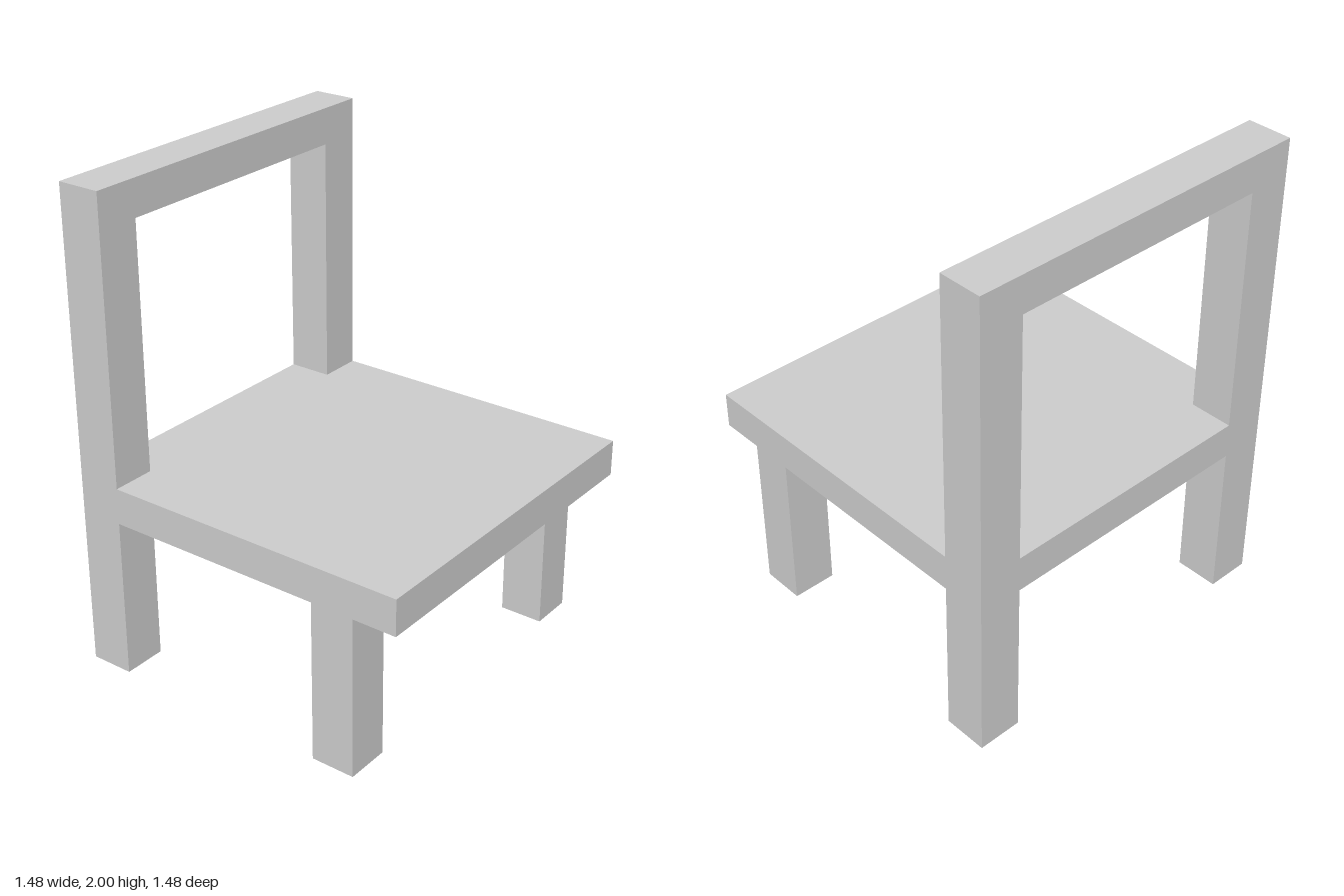
import * as THREE from 'three';

const HALF = 0.74;        // half width and half depth
const POST = 0.184;       // leg and post thickness
const SEAT_LOW = 0.675, SEAT_TOP = 0.825;
const RAIL_LOW = 1.85, TOP = 2;

export function createModel() {
  const chair = new THREE.Group();
  chair.name = 'chair';
  const material = new THREE.MeshStandardMaterial({ color: 0xcccccc, flatShading: true });

  // Box given by its lower and upper limits on each axis
  const addBox = (name, [x0, x1], [y0, y1], [z0, z1]) => {
    const mesh = new THREE.Mesh(new THREE.BoxGeometry(x1 - x0, y1 - y0, z1 - z0), material);
    mesh.position.set((x0 + x1) / 2, (y0 + y1) / 2, (z0 + z1) / 2);
    mesh.name = name;
    chair.add(mesh);
  };

  const inner = HALF - POST;
  const backZ = [-HALF, -inner];
  const frontZ = [inner - POST, inner];

  // Seat slab
  addBox('seat', [-HALF, HALF], [SEAT_LOW, SEAT_TOP], [-HALF, HALF]);

  // Legs and backrest posts, flush with the seat sides
  for (const [side, x] of [['left', [inner, HALF]], ['right', [-HALF, -inner]]]) {
    addBox(`${side}FrontLeg`, x, [0, SEAT_LOW], frontZ);
    addBox(`${side}BackLeg`, x, [0, SEAT_LOW], backZ);
    addBox(`${side}BackPost`, x, [SEAT_TOP, TOP], backZ);
  }

  // Rail joining the posts at the top
  addBox('topRail', [-inner, inner], [RAIL_LOW, TOP], backZ);

  return chair;
}
